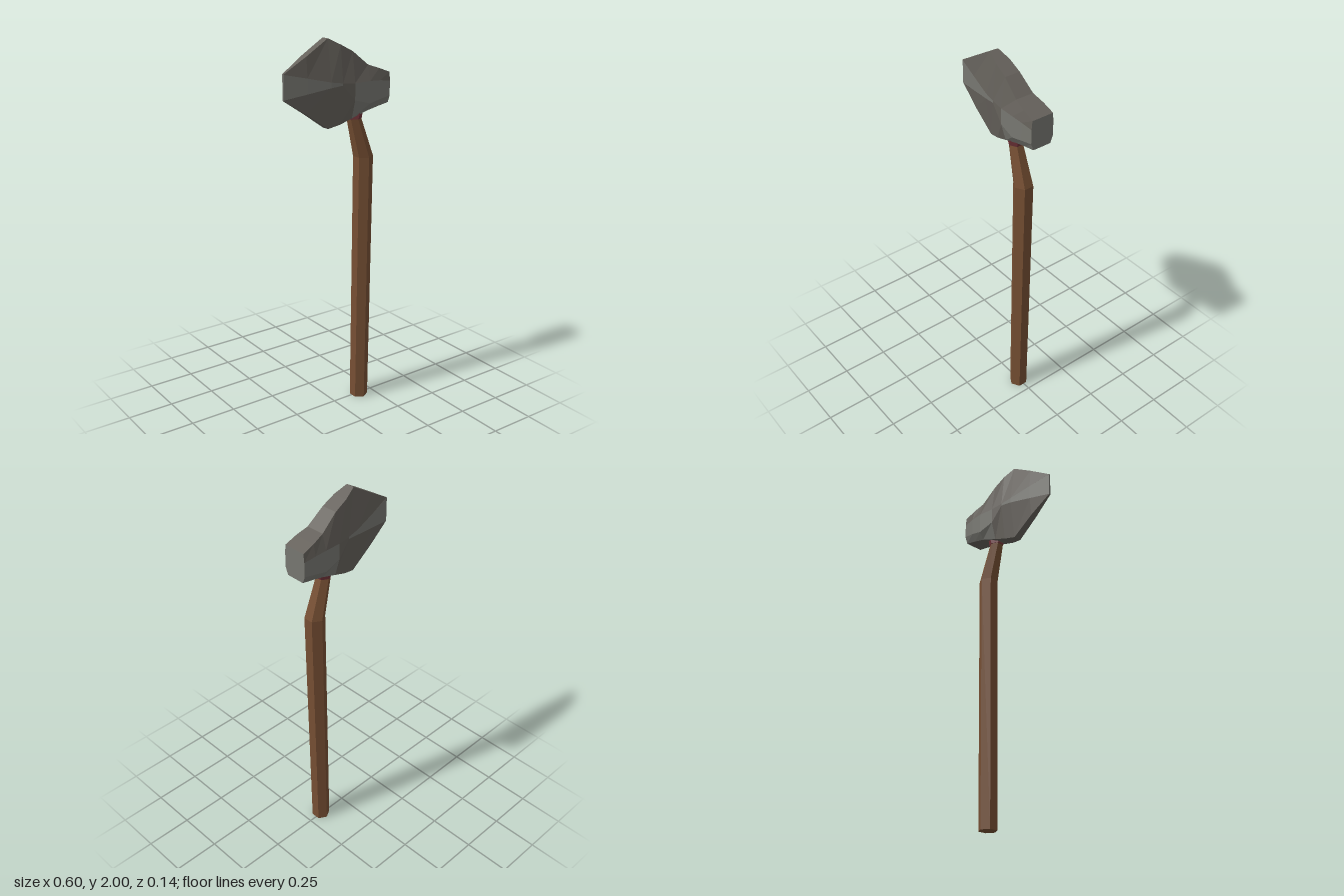
import * as THREE from 'three';

const material = (name, color) => {
  const m = new THREE.MeshStandardMaterial({ color, flatShading: true });
  m.name = name;
  return m;
};

// Skins a list of rings (counter-clockwise seen from the last ring) and caps both ends.
// pick(i, k) gives the material index of the face at span i, side k.
function loft(rings, pick = () => 0) {
  const faces = [[], []];
  const n = rings[0].length;
  for (let i = 0; i < rings.length - 1; i++) {
    for (let k = 0; k < n; k++) {
      const j = (k + 1) % n;
      const a = rings[i][k], b = rings[i + 1][k], c = rings[i + 1][j], d = rings[i][j];
      faces[pick(i, k)].push(...d, ...c, ...b, ...d, ...b, ...a);
    }
  }
  const first = rings[0], last = rings[rings.length - 1];
  for (let k = 1; k < n - 1; k++) {
    faces[pick(rings.length - 1, k)].push(...last[0], ...last[k], ...last[k + 1]);
    faces[pick(0, 1)].push(...first[0], ...first[k + 1], ...first[k]);
  }
  const geometry = new THREE.BufferGeometry();
  geometry.setAttribute('position', new THREE.Float32BufferAttribute(faces.flat(), 3));
  geometry.addGroup(0, faces[0].length / 3, 0);
  geometry.addGroup(faces[0].length / 3, faces[1].length / 3, 1);
  geometry.computeVertexNormals();
  return geometry;
}

// Hexagonal rings with corners facing front and back: [centre x, y, radius along x, radius along z]
const hexRings = (stations) => stations.map(([x, y, rx, rz]) =>
  Array.from({ length: 6 }, (_, k) => {
    const t = Math.PI / 6 + (k * Math.PI) / 3;
    return [x + rx * Math.cos(t), y, 0.006 - rz * Math.sin(t)];
  }));

export function createModel() {
  const group = new THREE.Group();
  const stone = material('stone', 0x65615b);
  const wornStone = material('worn stone', 0x777771);
  const wood = material('wood', 0x764f33);
  const binding = material('red binding', 0x6e3238);
  const add = (name, geometry, mats) => {
    const mesh = new THREE.Mesh(geometry, mats);
    mesh.name = name;
    group.add(mesh);
  };

  // Bent wooden handle
  add('handle', loft(hexRings([
    [0.163, 0, 0.049, 0.049],
    [0.178, 1.38, 0.052, 0.052],
    [0.113, 1.6, 0.037, 0.036],
  ])), [wood, wood]);

  // Collar between handle and head
  add('binding', loft(hexRings([
    [0.116, 1.585, 0.041, 0.039],
    [0.125, 1.625, 0.04, 0.042],
    [0.128, 1.7, 0.034, 0.04],
  ])), [binding, binding]);

  // Stone head, blade to poll:
  // x, top y, top half width, upper cheek y, lower cheek y, cheek half width, bottom y, bottom half width
  const sections = [
    [-0.302, 1.85, 0.003, 1.847, 1.723, 0.005, 1.72, 0.003],
    [-0.18, 1.924, 0.021, 1.82, 1.743, 0.029, 1.642, 0.018],
    [-0.055, 2.0, 0.022, 1.791, 1.763, 0.052, 1.555, 0.022],
    [0.01, 1.967, 0.039, 1.781, 1.77, 0.059, 1.57, 0.032],
    [0.08, 1.93, 0.042, 1.775, 1.69, 0.065, 1.594, 0.038],
    [0.17, 1.857, 0.049, 1.778, 1.665, 0.071, 1.625, 0.046],
    [0.235, 1.834, 0.058, 1.775, 1.68, 0.07, 1.64, 0.048],
    [0.3, 1.81, 0.06, 1.765, 1.69, 0.064, 1.653, 0.05],
  ];
  const rings = sections.map(([x, top, tw, hi, lo, cw, bottom, bw]) => [
    [x, top, tw], [x, hi, cw], [x, lo, cw], [x, bottom, bw],
    [x, bottom, -bw], [x, lo, -cw], [x, hi, -cw], [x, top, -tw],
  ]);
  // Worn faces: blade bevels, sides of the poll and its striking end
  const worn = (i, k) => {
    if (i === rings.length - 1) return 1;
    if (k === 1 || k === 5) return i < 3 || i > 3 ? 1 : 0;
    return (k === 2 || k === 4) && i > 3 ? 1 : 0;
  };
  add('axeHead', loft(rings, worn), [stone, wornStone]);

  return group;
}
